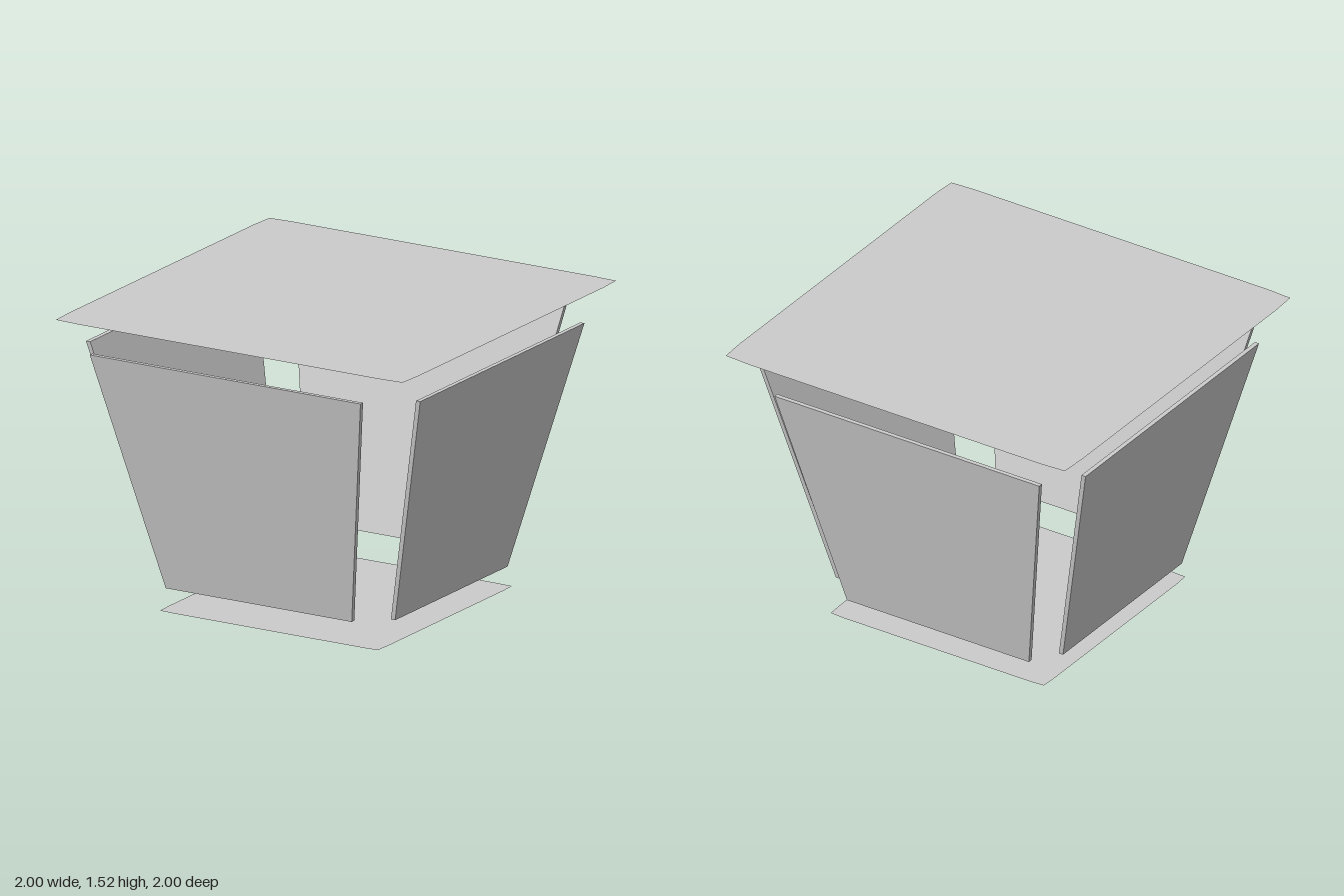
import * as THREE from 'three';

const HEIGHT = 1.52;
const PANEL = { bottom: 0.135, top: 1.36, outBottom: 0.665, outTop: 0.957, thick: 0.024 };

const material = new THREE.MeshStandardMaterial({ color: 0xcccccc, flatShading: true });
const sheetMaterial = new THREE.MeshStandardMaterial({ color: 0xcccccc, side: THREE.DoubleSide });

// Thin horizontal square sheet whose corners are pulled in very slightly
function sheet(name, half, y) {
  const points = [];
  for (let i = 0; i < 4; i++) {
    for (const [x, z] of [[1, -0.86], [1, 0.86], [0.992, 0.992]]) {
      points.push(new THREE.Vector2(x * half, z * half).rotateAround(new THREE.Vector2(), i * Math.PI / 2));
    }
  }
  const geometry = new THREE.ShapeGeometry(new THREE.Shape(points));
  geometry.rotateX(-Math.PI / 2);
  const mesh = new THREE.Mesh(geometry, sheetMaterial);
  mesh.name = name;
  mesh.position.y = y;
  return mesh;
}

// Leaning trapezoid slab facing +z, then turned to its side.
// Each range is [minimum, maximum] across the slab.
function panel(name, topRange, bottomRange, turn) {
  const geometry = new THREE.BoxGeometry(1, 1, 1);
  const p = geometry.attributes.position;
  for (let i = 0; i < p.count; i++) {
    const upper = p.getY(i) > 0;
    const range = upper ? topRange : bottomRange;
    const outer = upper ? PANEL.outTop : PANEL.outBottom;
    p.setXYZ(
      i,
      p.getX(i) > 0 ? range[1] : range[0],
      upper ? PANEL.top : PANEL.bottom,
      p.getZ(i) > 0 ? outer : outer - PANEL.thick
    );
  }
  geometry.rotateY(turn);
  geometry.computeVertexNormals();
  const mesh = new THREE.Mesh(geometry, material);
  mesh.name = name;
  return mesh;
}

export function createModel() {
  const model = new THREE.Group();
  model.name = 'taperedBox';

  // Floor and lid
  model.add(sheet('bottomSheet', 0.628, 0), sheet('topSheet', 1, HEIGHT));

  // Four separate sloping walls, each a little off centre
  model.add(
    panel('frontPanel', [-0.82, 0.73], [-0.565, 0.5], 0),
    panel('backPanel', [-0.73, 0.82], [-0.5, 0.565], Math.PI),
    panel('leftPanel', [-0.77, 0.755], [-0.53, 0.515], Math.PI / 2),
    panel('rightPanel', [-0.755, 0.77], [-0.515, 0.53], -Math.PI / 2)
  );
  return model;
}
